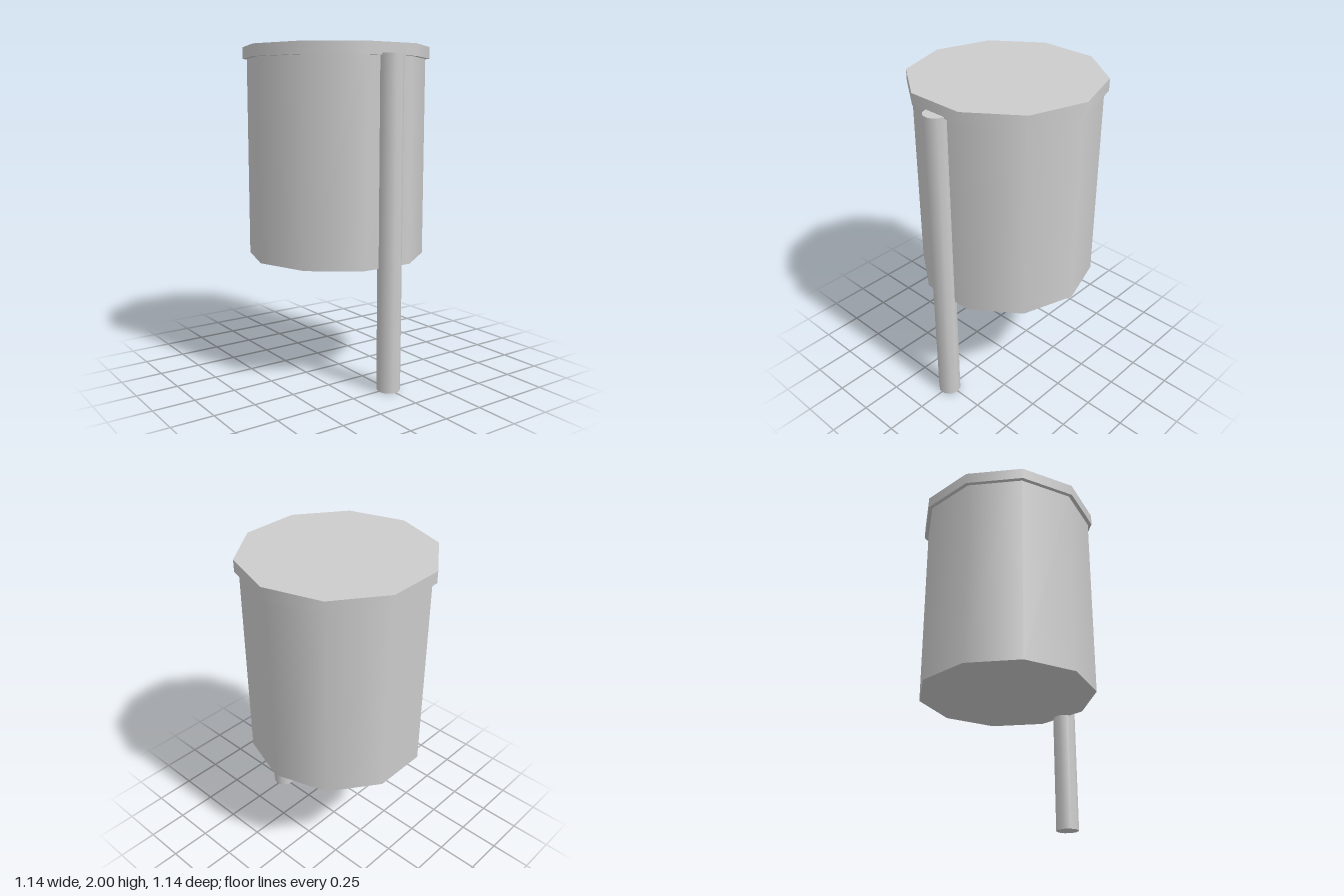
import * as THREE from 'three';

export function createModel() {
  const model = new THREE.Group();
  const grey = new THREE.MeshStandardMaterial({ color: 0xcccccc });
  grey.name = 'light grey';

  // Ten-sided smooth cylinder with corners on the x axis, spanning y0 to y1
  function addCylinder(name, radius, y0, y1, z) {
    const geometry = new THREE.CylinderGeometry(radius, radius, y1 - y0, 10, 1, false, Math.PI / 2);
    const mesh = new THREE.Mesh(geometry, grey);
    mesh.name = name;
    mesh.position.set(0, (y0 + y1) / 2, z);
    model.add(mesh);
  }

  addCylinder('drum', 0.543, 0.73, 1.93, -0.032);
  addCylinder('lid', 0.568, 1.93, 2, -0.032);
  addCylinder('post', 0.07, 0, 1.94, 0.505); // partly sunk into the drum's front face

  return model;
}
